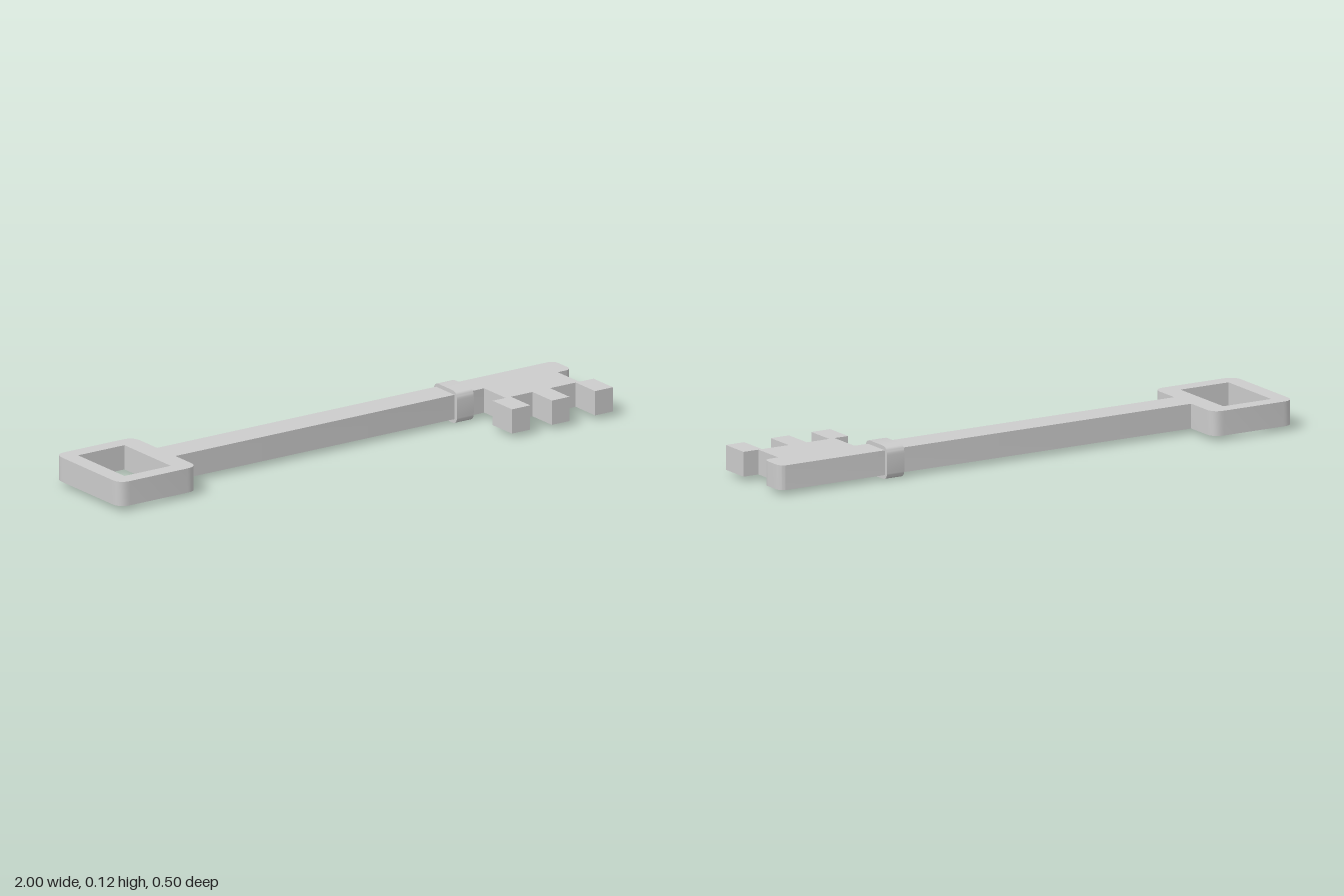
import * as THREE from 'three';
import { toCreasedNormals } from 'three/addons/utils/BufferGeometryUtils.js';

const BOTTOM = 0.016, TOP = 0.104;
const material = new THREE.MeshStandardMaterial({ color: 0xcccccc });

// Closed outline from [x, y, cornerRadius] points
function outline(points, path = new THREE.Shape()) {
  const n = points.length;
  points.forEach(([x, y, r = 0], i) => {
    const corner = new THREE.Vector2(x, y);
    const towards = ([px, py]) =>
      new THREE.Vector2(px, py).sub(corner).setLength(r).add(corner);
    const a = towards(points[(i + n - 1) % n]);
    const b = towards(points[(i + 1) % n]);
    if (i === 0) path.moveTo(a.x, a.y);
    else path.lineTo(a.x, a.y);
    if (r) path.quadraticCurveTo(x, y, b.x, b.y);
  });
  path.closePath();
  return path;
}

const rect = (x0, y0, x1, y1, r0 = 0, r1 = r0) =>
  [[x0, y0, r0], [x1, y0, r1], [x1, y1, r1], [x0, y1, r0]];

function extrude(shape, depth) {
  return new THREE.ExtrudeGeometry(shape, { depth, bevelEnabled: false, curveSegments: 8 });
}

function addMesh(group, name, geometry) {
  const mesh = new THREE.Mesh(toCreasedNormals(geometry, 0.6), material);
  mesh.name = name;
  group.add(mesh);
}

// Flat plate lying in the xz plane; outline y becomes z
function addPlate(group, name, shape) {
  const geometry = extrude(shape, TOP - BOTTOM).rotateX(Math.PI / 2).translate(0, TOP, 0);
  addMesh(group, name, geometry);
}

export function createModel() {
  const key = new THREE.Group();
  key.name = 'key';

  // Rectangular handle with a sharp-cornered opening
  const bow = outline(rect(-1, -0.25, -0.67, 0.14, 0.045));
  bow.holes.push(outline(rect(-0.94, -0.195, -0.745, 0.083), new THREE.Path()));
  addPlate(key, 'bow', bow);

  // Long bar, rounded at the tip only
  addPlate(key, 'shaft', outline(rect(-0.67, -0.106, 1, 0.004, 0, 0.03)));

  // Web with three square teeth
  const root = 0.133, end = 0.249;
  const teeth = [[0.575, 0.652], [0.743, 0.817], [0.925, 1]];
  const bit = [[0.63, 0.004], [0.63, root]];
  teeth.forEach(([x0, x1]) => bit.push([x0, root], [x0, end], [x1, end], [x1, root]));
  bit.push([0.94, root], [0.94, 0.004]);
  addPlate(key, 'bit', outline(bit));

  // Rounded collar wrapped around the shaft
  const collar = extrude(outline(rect(-0.02, 0, 0.12, 0.118, 0.03)), 0.07);
  collar.rotateY(Math.PI / 2).translate(0.505, 0, 0);
  addMesh(key, 'collar', collar);

  return key;
}
